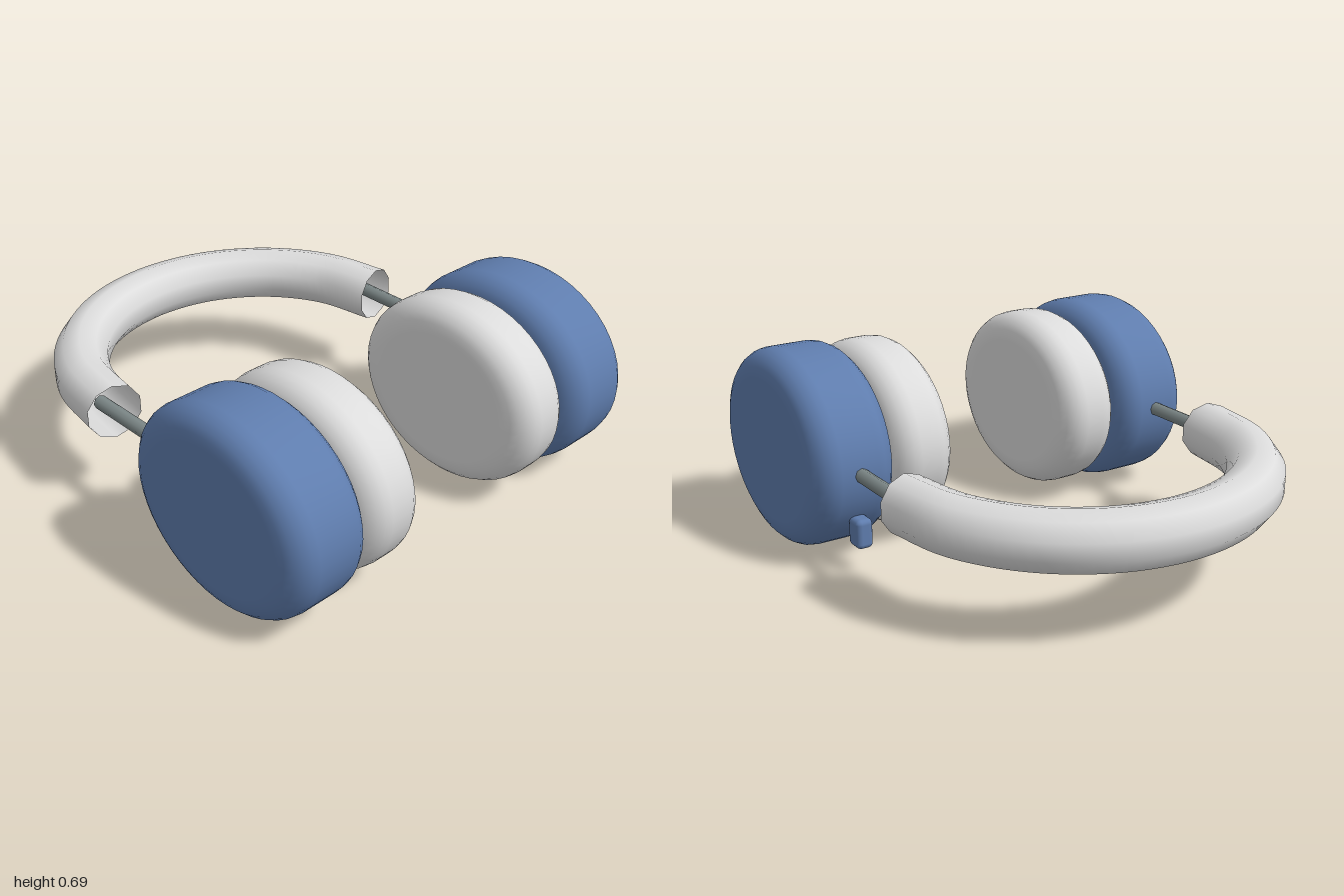
import * as THREE from 'three';
import { RoundedBoxGeometry } from 'three/addons/geometries/RoundedBoxGeometry.js';

const material = (name, color, side = THREE.FrontSide) => {
  const m = new THREE.MeshStandardMaterial({ color, side });
  m.name = name;
  return m;
};

// Oval disc with rounded rims; its axis lies along x
function roundedDisc(radiusY, radiusZ, thickness, bevel) {
  const h = thickness / 2, steps = 5, inner = radiusY - bevel;
  const points = [new THREE.Vector2(0, -h), new THREE.Vector2(inner - 0.012, -h)];
  for (const side of [-1, 1]) {
    for (let i = 0; i <= steps; i++) {
      const t = (side < 0 ? i / steps - 1 : i / steps) * Math.PI / 2;
      points.push(new THREE.Vector2(inner + bevel * Math.cos(t), side * (h - bevel) + bevel * Math.sin(t)));
    }
  }
  points.push(new THREE.Vector2(inner - 0.012, h), new THREE.Vector2(0, h));
  const geometry = new THREE.LatheGeometry(points, 48);
  geometry.rotateZ(-Math.PI / 2);
  geometry.scale(1, 1, radiusZ / radiusY);
  return geometry;
}

export function createModel() {
  const blue = material('blue shell', 0x5f7dae);
  const white = material('soft white', 0xdcdcdc);
  const bandWhite = white;
  bandWhite.side = THREE.DoubleSide;
  const steel = material('grey metal', 0x7d8888);

  const model = new THREE.Group();
  model.name = 'headphones';
  const body = new THREE.Group();
  body.name = 'headphoneBody';
  body.position.set(-0.069, 0, 0.029);
  body.rotation.y = THREE.MathUtils.degToRad(23);
  model.add(body);

  const add = (name, geometry, mat, x, y, z) => {
    const mesh = new THREE.Mesh(geometry, mat);
    mesh.name = name;
    mesh.position.set(x, y, z);
    body.add(mesh);
    return mesh;
  };

  const midY = 0.345, bandZ = -0.338, cupZ = 0.341, bandRadius = 0.622;

  // Headband: open-ended half ring
  const arc = [];
  for (let i = 0; i <= 8; i++) {
    const t = Math.PI * i / 8;
    arc.push(new THREE.Vector3(-bandRadius * Math.cos(t), 0, -bandRadius * Math.sin(t)));
  }
  add('headband', new THREE.TubeGeometry(new THREE.CatmullRomCurve3(arc), 48, 0.1, 10), bandWhite, 0, 0.348, bandZ);

  // Slider rod, shell and cushion on each side
  const shell = roundedDisc(0.345, 0.402, 0.305, 0.085);
  const cushion = roundedDisc(0.328, 0.387, 0.235, 0.085);
  const rod = new THREE.CylinderGeometry(0.025, 0.025, 0.45, 8);
  rod.rotateX(Math.PI / 2);
  for (const [side, label] of [[1, 'left'], [-1, 'right']]) {
    add(label + 'SliderRod', rod, steel, side * 0.621, 0.348, -0.2);
    add(label + 'EarShell', shell, blue, side * 0.6235, midY, cupZ);
    add(label + 'EarCushion', cushion, white, side * 0.3505, midY, cupZ);
  }

  // Small control button on the lower rear rim
  add('controlButton', new RoundedBoxGeometry(0.06, 0.105, 0.075, 2, 0.018), blue, 0.62, 0.14, -0.034);

  return model;
}
